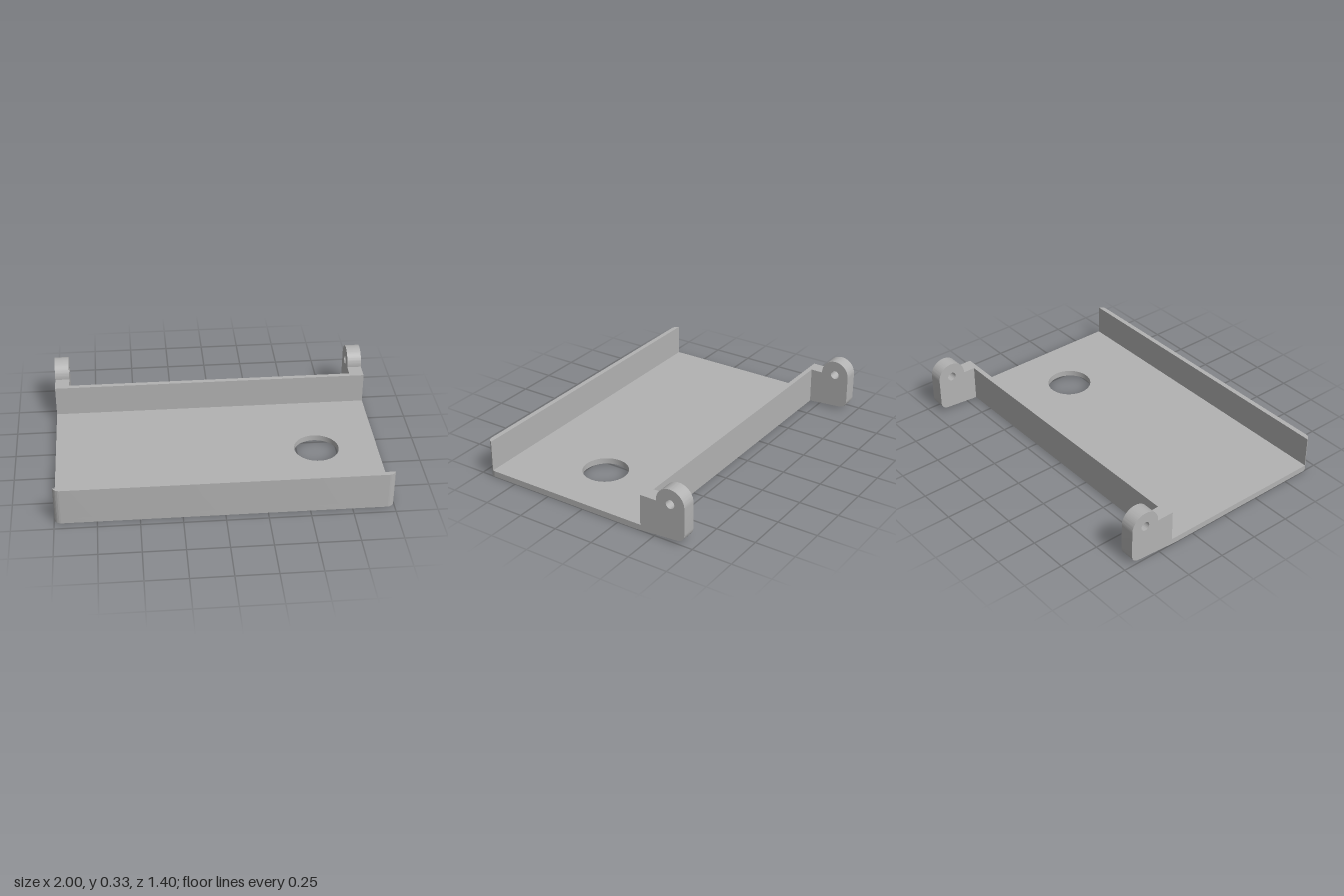
import * as THREE from 'three';
import { toCreasedNormals } from 'three/addons/utils/BufferGeometryUtils.js';

const HALF = 1, FRONT = 0.7, FLOOR = 0.037, WALL = 0.232, JOIN = 0.37;

function extrude(shape, depth) {
  return new THREE.ExtrudeGeometry(shape, { depth, bevelEnabled: false, curveSegments: 32 });
}

// Plan shape (x, -z) raised upwards from height y
function fromPlan(shape, height, y) {
  return toCreasedNormals(extrude(shape, height).rotateX(-Math.PI / 2).translate(0, y, 0), 0.6);
}

// Side profile (-z, y) swept along x from x0
function fromSide(shape, width, x0) {
  return toCreasedNormals(extrude(shape, width).rotateY(Math.PI / 2).translate(x0, 0, 0), 0.6);
}

// Plan outline with rounded front corners, ending at z = back
function trayOutline(back) {
  const r = 0.045, s = new THREE.Shape();
  s.moveTo(HALF, -back);
  s.lineTo(-HALF, -back);
  s.lineTo(-HALF, -FRONT + r);
  s.absarc(-HALF + r, -FRONT + r, r, Math.PI, Math.PI * 1.5, false);
  s.absarc(HALF - r, -FRONT + r, r, Math.PI * 1.5, Math.PI * 2, false);
  s.closePath();
  return s;
}

// Front lip, following the rounded corners
function lipOutline() {
  const r = 0.045, z = 0.67, a = Math.asin((z - FRONT + r) / r);
  const s = new THREE.Shape();
  s.absarc(-HALF + r, -FRONT + r, r, Math.PI + a, Math.PI * 1.5, false);
  s.absarc(HALF - r, -FRONT + r, r, Math.PI * 1.5, Math.PI * 2 - a, false);
  s.closePath();
  return s;
}

// Hinge lug: rounded top around the pin hole, rounded lower rear corner
function lugProfile() {
  const u = 0.605, v = 0.238, r = 0.093, rear = u + r, c = 0.05;
  const s = new THREE.Shape();
  s.moveTo(0.435, 0.005);
  s.lineTo(rear - c, 0.021);
  s.quadraticCurveTo(rear - 0.003, 0.024, rear, 0.021 + c);
  s.lineTo(rear, v);
  s.absarc(u, v, r, 0, Math.PI, false);
  s.lineTo(u - r, WALL);
  s.lineTo(0.435, WALL);
  s.closePath();
  const hole = new THREE.Path();
  hole.absarc(u, v, 0.028, 0, Math.PI * 2, true);
  s.holes.push(hole);
  return s;
}

export function createModel() {
  const group = new THREE.Group();
  const grey = new THREE.MeshStandardMaterial({ color: 0xb2b2b2 });
  grey.name = 'plain grey';
  const add = (name, geometry) => {
    const mesh = new THREE.Mesh(geometry, grey);
    mesh.name = name;
    group.add(mesh);
  };

  // Floor with round opening
  const floor = trayOutline(-JOIN);
  const opening = new THREE.Path();
  opening.absarc(0.62, -0.115, 0.139, 0, Math.PI * 2, true);
  floor.holes.push(opening);
  add('floor', fromPlan(floor, FLOOR, 0));
  add('frontWall', fromPlan(lipOutline(), WALL - FLOOR, FLOOR));

  // Back wall with the gently rising underside
  const back = new THREE.Shape([
    [JOIN, 0], [0.435, 0.005], [0.435, WALL], [0.405, WALL], [0.405, FLOOR], [JOIN, FLOOR],
  ].map(([u, v]) => new THREE.Vector2(u, v)));
  add('backWall', fromSide(back, 2 * HALF, -HALF));

  // Hinge lugs at both rear corners
  const lugWidth = 0.09;
  add('leftHingeLug', fromSide(lugProfile(), lugWidth, HALF - lugWidth));
  add('rightHingeLug', fromSide(lugProfile(), lugWidth, -HALF));
  return group;
}
